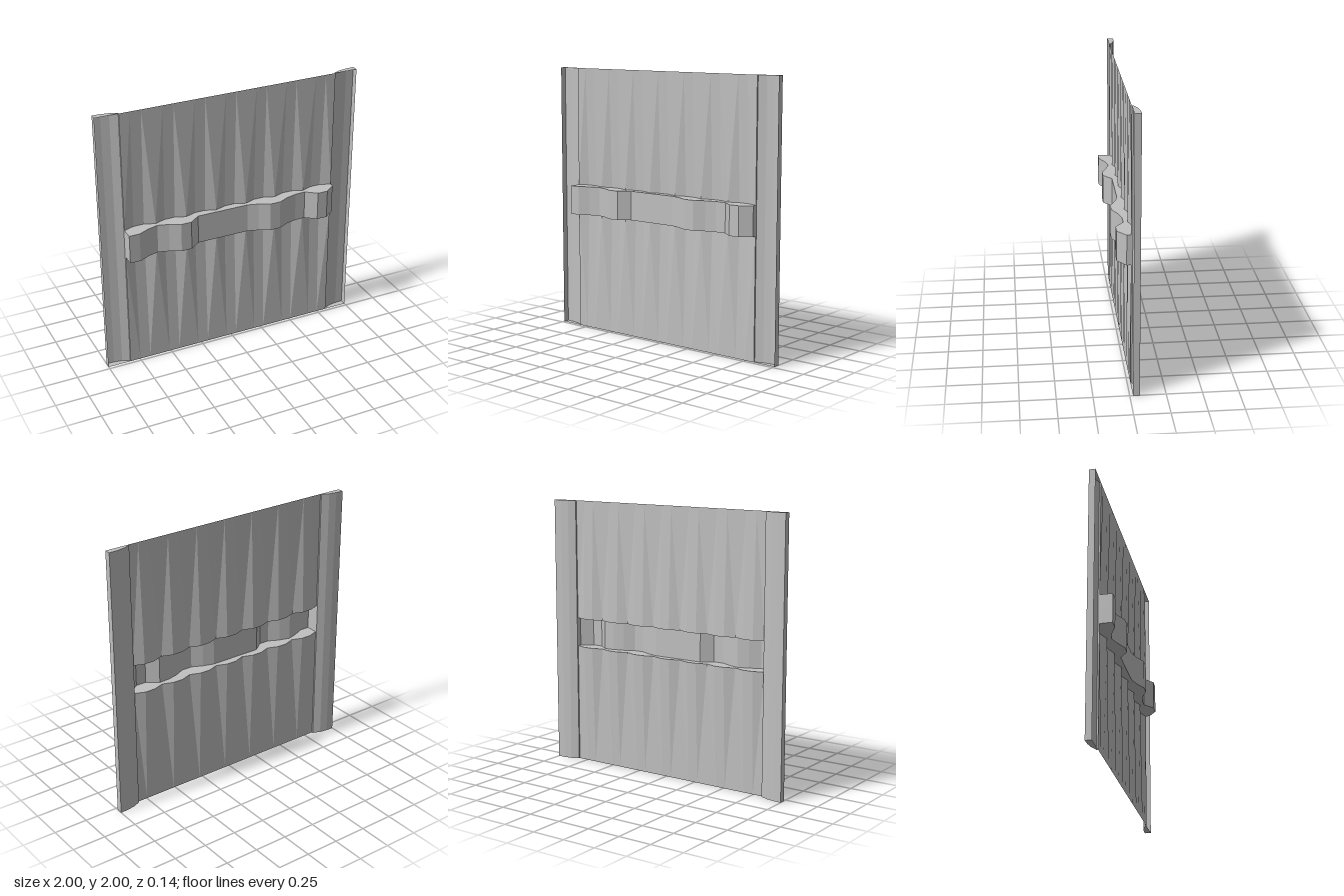
import * as THREE from 'three';

const grey = new THREE.MeshStandardMaterial({ color: 0xc0c0c0, side: THREE.DoubleSide });
grey.name = 'plain grey';

const BACK = -0.023, RIDGE = -0.052;        // depth of the pleat valleys and ridges
const BAND_LOW = 0.893, BAND_HIGH = 1.11, HEIGHT = 2;
const COUNT = 21, HALF = 0.826;             // seven pleats of three facets each
const xAt = i => -HALF + (2 * HALF * i) / COUNT;

// Flat-shaded sheet between two rows of points; "mirrored" picks the quads cut the other way.
function sheet(name, a, b, mirrored = () => false) {
  const pos = [];
  for (let i = 0; i < a.length - 1; i++) {
    const [p, q, r, s] = [a[i], a[i + 1], b[i + 1], b[i]];
    const tris = mirrored(i) ? [p, q, s, q, r, s] : [p, q, r, p, r, s];
    tris.forEach(v => pos.push(...v));
  }
  const g = new THREE.BufferGeometry();
  g.setAttribute('position', new THREE.Float32BufferAttribute(pos, 3));
  g.computeVertexNormals();
  const mesh = new THREE.Mesh(g, grey);
  mesh.name = name;
  return mesh;
}

// Row of points across the model, with depth given per column.
const row = (y, depth) => Array.from({ length: COUNT + 1 }, (_, i) => [xAt(i), y, depth(i)]);
const pleat = i => (i % 3 === 0 ? BACK : RIDGE);
const straight = () => BACK;

// Pleated panel: straight at the outer edge, folded where it meets the band.
function pleatedPanel(name, bandY, edgeY) {
  const cut = i => i % 3 === 2;
  const folded = row(bandY, pleat), edge = row(edgeY, straight);
  return edgeY > bandY
    ? sheet(name, folded, edge, cut)
    : sheet(name, edge, folded, i => !cut(i));
}

// Horizontal band, open at the back, with a bulging front.
function middleBand() {
  const group = new THREE.Group();
  group.name = 'middleBand';
  const O = 0.067, M = 0.029, L = 0.006;
  const front = [O, O, M, L, M, O, O, L, L, L, L, L, L, M, O, O, M, 0.009, L, O, O, L];
  const face = i => front[i];
  group.add(sheet('bandFront', row(BAND_LOW, face), row(BAND_HIGH, face)));
  group.add(sheet('bandTop', row(BAND_HIGH, face), row(BAND_HIGH, pleat)));
  group.add(sheet('bandBottom', row(BAND_LOW, pleat), row(BAND_LOW, face)));
  const end = (name, x, z0, z1) => sheet(name,
    [[x, BAND_LOW, z0], [x, BAND_LOW, z1]], [[x, BAND_HIGH, z0], [x, BAND_HIGH, z1]]);
  group.add(end('bandRightEnd', -HALF, BACK, front[0]));
  group.add(end('bandLeftEnd', HALF, front[COUNT], BACK));
  return group;
}

// Side post: a curved channel, open at the front, with end caps.
function sidePost(name, side) {
  const group = new THREE.Group();
  group.name = name;
  const profile = [[HALF, BACK], [HALF, -0.034], [0.882, -0.057],
    [0.941, -0.067], [1, -0.069], [1, BACK]];
  if (side > 0) profile.reverse();
  const at = y => profile.map(([x, z]) => [side * x, y, z]);
  group.add(sheet('postShell', at(0), at(HEIGHT)));
  const outline = new THREE.Shape(profile.map(([x, z]) => new THREE.Vector2(side * x, -z)));
  for (const y of [0, HEIGHT]) {
    const cap = new THREE.Mesh(new THREE.ShapeGeometry(outline).rotateX(-Math.PI / 2), grey);
    if (y === 0) cap.geometry.scale(1, -1, 1);
    cap.name = y ? 'postTopCap' : 'postBottomCap';
    cap.position.y = y;
    group.add(cap);
  }
  return group;
}

export function createModel() {
  const model = new THREE.Group();
  model.name = 'pleatedWallPanel';
  model.add(
    pleatedPanel('upperPanel', BAND_HIGH, HEIGHT),
    pleatedPanel('lowerPanel', BAND_LOW, 0),
    middleBand(),
    sidePost('leftPost', 1),
    sidePost('rightPost', -1),
  );
  return model;
}
